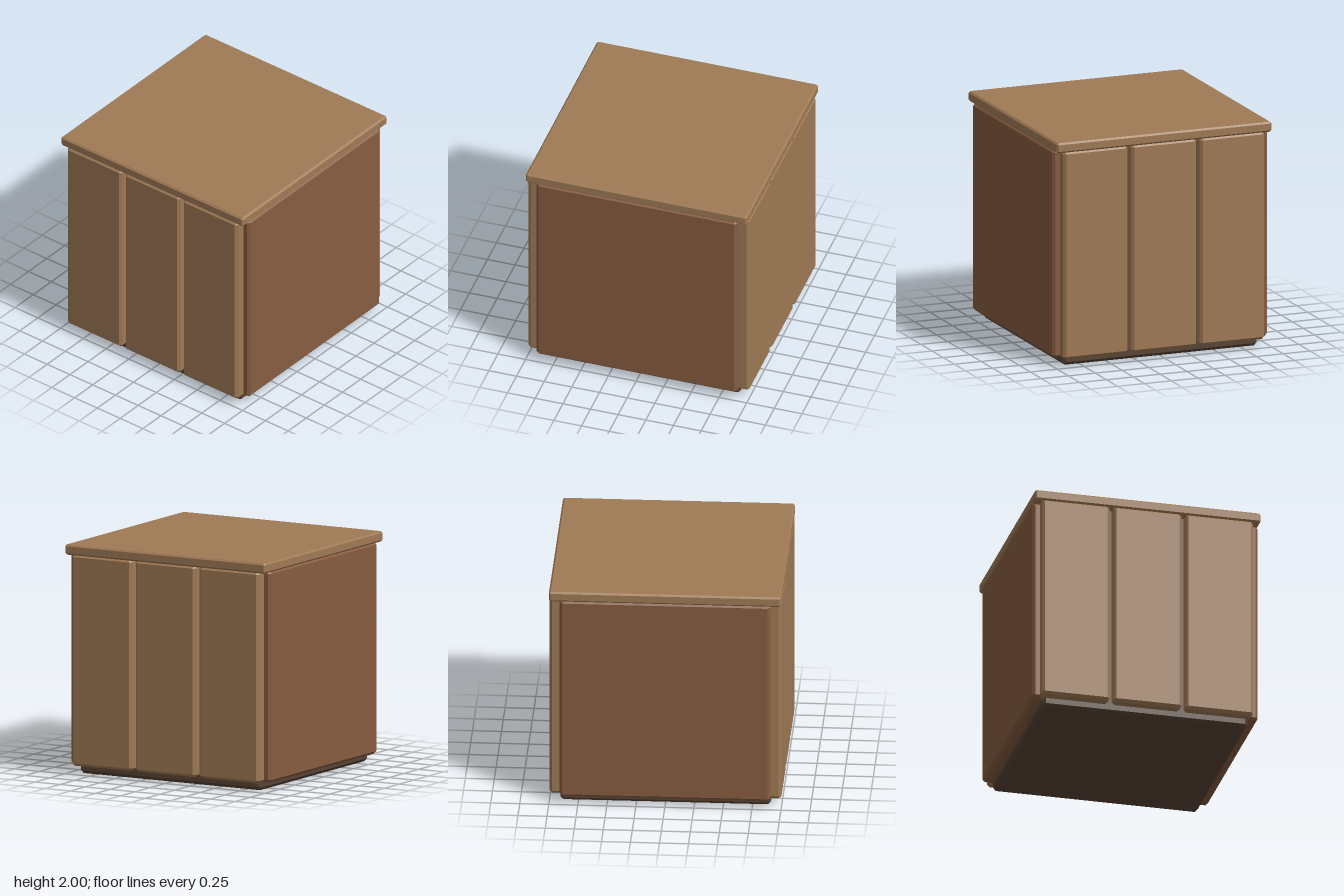
import * as THREE from 'three';
import { ConvexGeometry } from 'three/addons/geometries/ConvexGeometry.js';

const paint = (color) => new THREE.MeshStandardMaterial({ color, flatShading: true });

// Box between two corners with every edge cut at 45 degrees
function chamferedBox(min, max, c) {
  const points = [];
  for (let corner = 0; corner < 8; corner++) {
    for (let flat = 0; flat < 3; flat++) {
      const p = [0, 1, 2].map((a) => {
        const inset = a === flat ? 0 : c;
        return corner & (1 << a) ? max[a] - inset : min[a] + inset;
      });
      points.push(new THREE.Vector3(...p));
    }
  }
  return new ConvexGeometry(points);
}

export function createModel() {
  const model = new THREE.Group();
  const plankWood = paint(0xa07a55);
  const sideWood = paint(0x875d40);
  const coreWood = paint(0x584334);

  const add = (name, min, max, chamfer, material) => {
    const mesh = new THREE.Mesh(chamferedBox(min, max, chamfer), material);
    mesh.name = name;
    model.add(mesh);
  };

  // Dark core: forms the recessed plinth and shows between the planks
  add('core', [-0.907, 0, -0.907], [0.907, 1.985, 0.907], 0.027, coreWood);

  // Lid slab
  add('lid', [-1, 1.91, -1], [1, 2, 1], 0.015, plankWood);

  // Three planks on the front and on the back
  const planks = [[-0.937, -0.335], [-0.303, 0.303], [0.335, 0.937]];
  for (const [x0, x1] of planks) {
    add('frontPlank', [x0, 0.075, 0.84], [x1, 1.92, 1], 0.024, plankWood);
    add('backPlank', [x0, 0.075, -1], [x1, 1.92, -0.84], 0.024, plankWood);
  }

  // One wide panel on each side
  add('leftPanel', [0.84, 0.075, -0.908], [1, 1.92, 0.908], 0.024, sideWood);
  add('rightPanel', [-1, 0.075, -0.908], [-0.84, 1.92, 0.908], 0.024, sideWood);

  return model;
}
